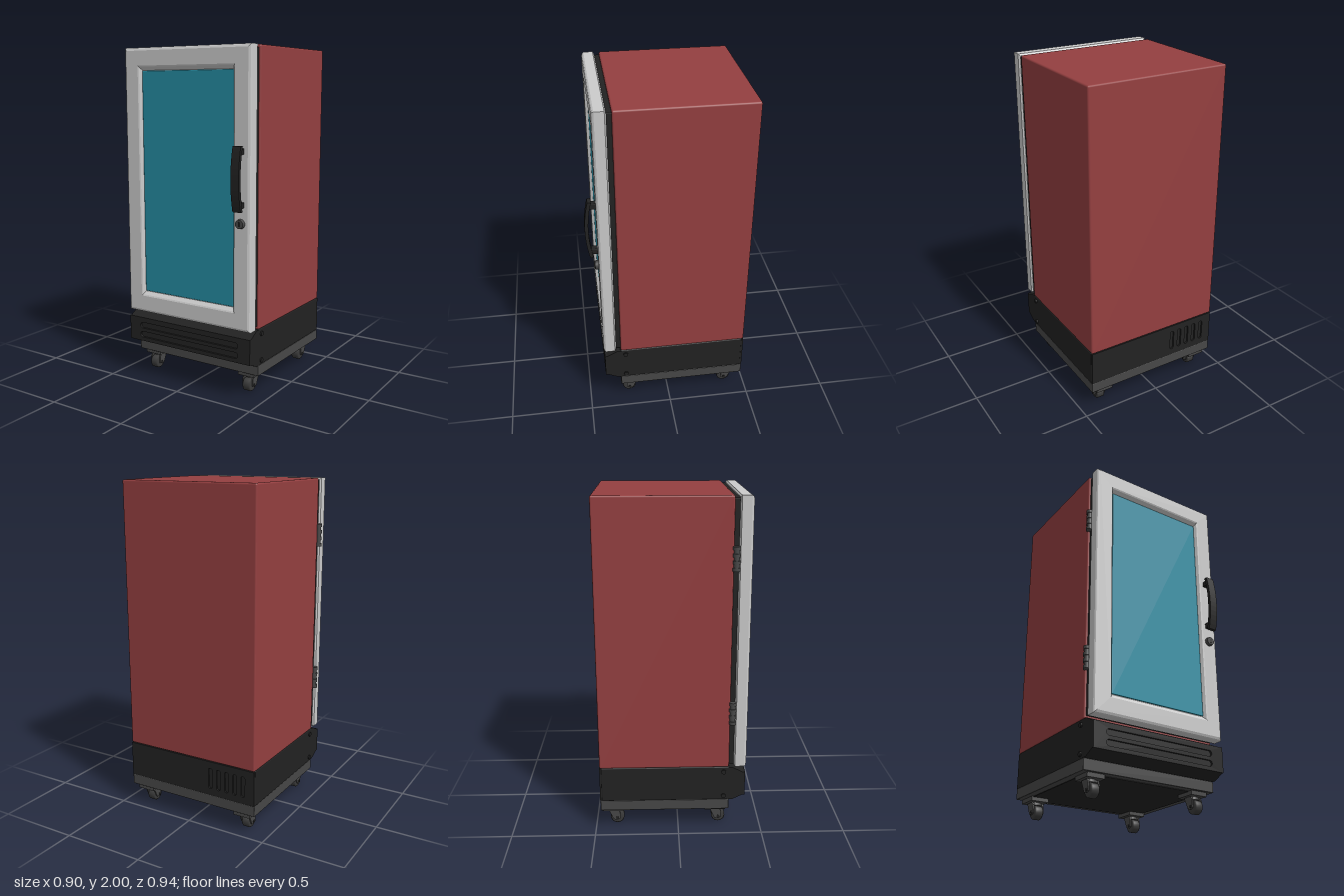
import * as THREE from 'three';
import { RoundedBoxGeometry } from 'three/addons/geometries/RoundedBoxGeometry.js';

const mat = (color) => new THREE.MeshStandardMaterial({ color });
const grey = mat(0xcccccc), red = mat(0x943f40), teal = mat(0x268ca2);
const black = mat(0x222222), dark = mat(0x474747), wheelGrey = mat(0x3a3a3a);
const CX = 0.005; // centre line of the cabinet

function add(parent, name, geo, material, x = 0, y = 0, z = 0) {
  const m = new THREE.Mesh(geo, material);
  m.name = name;
  m.position.set(x, y, z);
  parent.add(m);
  return m;
}

// Rounded box given by its extents
function block(parent, name, material, [x0, x1], [y0, y1], [z0, z1], r = 0.006) {
  const g = new RoundedBoxGeometry(x1 - x0, y1 - y0, z1 - z0, 2, r);
  return add(parent, name, g, material, (x0 + x1) / 2, (y0 + y1) / 2, (z0 + z1) / 2);
}

// Extrudes a (z, y) outline along x, centred on x = 0
function sideExtrude(points, width) {
  const shape = new THREE.Shape(points.map(([z, y]) => new THREE.Vector2(z, y)));
  const g = new THREE.ExtrudeGeometry(shape, { depth: width, bevelEnabled: false });
  return g.translate(0, 0, -width / 2).rotateY(-Math.PI / 2);
}

// Rectangular rings [halfWidth, halfHeight, z] joined into a mitred frame
function frame(rings) {
  const corners = ([w, h, z]) => [[-w, -h, z], [w, -h, z], [w, h, z], [-w, h, z]];
  const pos = [];
  for (let i = 0; i < rings.length - 1; i++) {
    const a = corners(rings[i]), b = corners(rings[i + 1]);
    for (let k = 0; k < 4; k++) {
      const n = (k + 1) % 4;
      pos.push(...a[k], ...a[n], ...b[n], ...a[k], ...b[n], ...b[k]);
    }
  }
  const g = new THREE.BufferGeometry();
  g.setAttribute('position', new THREE.Float32BufferAttribute(pos, 3));
  g.computeVertexNormals();
  return g;
}

// Flat panel with rounded slots [cx, cy, w, h]
function slottedPanel(w, h, depth, slots) {
  const shape = new THREE.Shape();
  shape.moveTo(-w / 2, -h / 2).lineTo(w / 2, -h / 2).lineTo(w / 2, h / 2).lineTo(-w / 2, h / 2);
  for (const [cx, cy, sw, sh] of slots) {
    const r = Math.min(sw, sh) / 2, dx = sw / 2 - r, dy = sh / 2 - r, hole = new THREE.Path();
    hole.absarc(cx + dx, cy + dy, r, 0, Math.PI / 2);
    hole.absarc(cx - dx, cy + dy, r, Math.PI / 2, Math.PI);
    hole.absarc(cx - dx, cy - dy, r, Math.PI, Math.PI * 1.5);
    hole.absarc(cx + dx, cy - dy, r, Math.PI * 1.5, Math.PI * 2);
    shape.holes.push(hole);
  }
  return new THREE.ExtrudeGeometry(shape, { depth, bevelEnabled: false, curveSegments: 4 });
}

function makeDoor() {
  const door = new THREE.Group();
  door.name = 'door';
  add(door, 'doorFrame', frame([
    [0, 0, 0.33], [0.425, 0.785, 0.33], [0.435, 0.795, 0.338], [0.435, 0.795, 0.392],
    [0.43, 0.79, 0.4], [0.418, 0.778, 0.406], [0.335, 0.692, 0.406],
    [0.328, 0.684, 0.402], [0.317, 0.665, 0.382], [0.3, 0.65, 0.382],
  ]), grey, CX, 1.205, 0);
  block(door, 'glass', teal, [-0.312, 0.322], [0.543, 1.868], [0.36, 0.388], 0.005);

  // Bowed handle: outer arc down, inner arc back up
  const outline = [], steps = 12;
  const bow = (t) => 0.022 * (1 - t * t);
  for (let i = 0; i <= steps; i++) {
    const t = 1 - (2 * i) / steps;
    outline.push([0.45 + bow(t), 1.28 + 0.18 * t]);
  }
  for (let i = steps; i >= 0; i--) {
    const t = 1 - (2 * i) / steps;
    outline.push([0.43 + bow(t), 1.28 + 0.18 * t]);
  }
  add(door, 'handleGrip', sideExtrude(outline, 0.052), black, 0.38);
  for (const y of [1.135, 1.43])
    block(door, 'handlePost', black, [0.36, 0.4], [y - 0.017, y + 0.017], [0.4, 0.448], 0.004);

  const lock = new THREE.CylinderGeometry(0.025, 0.028, 0.024, 24).rotateX(Math.PI / 2);
  add(door, 'lock', lock, dark, 0.38, 1.03, 0.414);
  add(door, 'keySlot', new THREE.BoxGeometry(0.007, 0.026, 0.004), black, 0.38, 1.03, 0.426);
  return door;
}

// Ribbed barrel with a leaf on the cabinet side
function makeHinge(y) {
  const hinge = new THREE.Group();
  hinge.name = 'hinge';
  hinge.position.set(-0.429, y, 0.316);
  for (let i = 0; i < 7; i++) {
    const r = i % 2 ? 0.016 : 0.021;
    add(hinge, 'knuckle', new THREE.CylinderGeometry(r, r, 0.02, 20), dark, 0, (i - 3) * 0.0195, 0);
  }
  add(hinge, 'hingeLeaf', new THREE.BoxGeometry(0.03, 0.12, 0.028), black, 0.012, 0, 0);
  return hinge;
}

function makeBase() {
  const base = new THREE.Group();
  base.name = 'base';
  block(base, 'machineHousing', black, [-0.43, 0.44], [0.188, 0.407], [-0.46, 0.305]);
  // Rear panel with vertical vents
  const vents = [0, 1, 2, 3, 4].map((i) => [-0.14 - i * 0.055, 0, 0.026, 0.13]);
  add(base, 'rearVentPanel', slottedPanel(0.866, 0.212, 0.012, vents), black, CX, 0.297, -0.47);

  // Bulging front grille with two long slots
  const nose = [[0.295, 0.19], [0.325, 0.19], [0.388, 0.22], [0.388, 0.37], [0.325, 0.403], [0.295, 0.403]];
  add(base, 'frontGrille', sideExtrude(nose, 0.87), black, CX);
  const slots = [0.025, -0.033].map((y) => [0, y, 0.71, 0.036]);
  add(base, 'grilleFace', slottedPanel(0.87, 0.15, 0.012, slots), black, CX, 0.295, 0.388);

  // Side fixing screws
  for (const side of [-1, 1]) for (const y of [0.215, 0.375])
    add(base, 'sideScrew', new THREE.CylinderGeometry(0.014, 0.014, 0.02, 16).rotateZ(Math.PI / 2),
      black, CX + side * 0.433, y, 0.272);

  block(base, 'plinth', dark, [-0.43, 0.44], [0.125, 0.19], [-0.468, 0.305], 0.004);
  add(base, 'underside', new THREE.BoxGeometry(0.78, 0.006, 0.69), black, CX, 0.125, -0.082);
  return base;
}

// Swivel caster, wheel trailing towards the front
function makeCaster(x, z) {
  const caster = new THREE.Group();
  caster.name = 'caster';
  caster.position.set(x, 0, z);
  add(caster, 'mountPlate', new THREE.BoxGeometry(0.11, 0.025, 0.125), dark, 0, 0.113, 0);
  add(caster, 'swivel', new THREE.CylinderGeometry(0.032, 0.036, 0.02, 20), dark, 0, 0.094, 0);
  const fork = [[-0.03, 0.098], [0.0, 0.032], [0.02, 0.026], [0.04, 0.035], [0.04, 0.075], [0.03, 0.098]];
  for (const s of [-1, 1]) add(caster, 'forkArm', sideExtrude(fork, 0.008), dark, s * 0.032);
  add(caster, 'forkCrown', new THREE.BoxGeometry(0.064, 0.012, 0.056), dark, 0, 0.092, 0);
  const tread = [[0, -0.026], [0.034, -0.026], [0.041, -0.019], [0.041, 0.019], [0.034, 0.026], [0, 0.026]];
  const wheel = new THREE.LatheGeometry(tread.map(([r, h]) => new THREE.Vector2(r, h)), 28).rotateZ(Math.PI / 2);
  add(caster, 'wheel', wheel, wheelGrey, 0, 0.041, 0.023);
  add(caster, 'axle', new THREE.CylinderGeometry(0.009, 0.009, 0.078, 12).rotateZ(Math.PI / 2),
    black, 0, 0.041, 0.023);
  return caster;
}

export function createModel() {
  const model = new THREE.Group();
  model.name = 'displayFridge';
  block(model, 'cabinet', red, [-0.43, 0.44], [0.405, 2], [-0.47, 0.302], 0.01);
  block(model, 'doorGasket', black, [-0.418, 0.428], [0.422, 1.985], [0.29, 0.335], 0.004);
  model.add(makeDoor(), makeHinge(1.66), makeHinge(0.753), makeBase());
  for (const x of [-0.34, 0.347]) for (const z of [0.225, -0.395]) model.add(makeCaster(x, z));
  return model;
}
